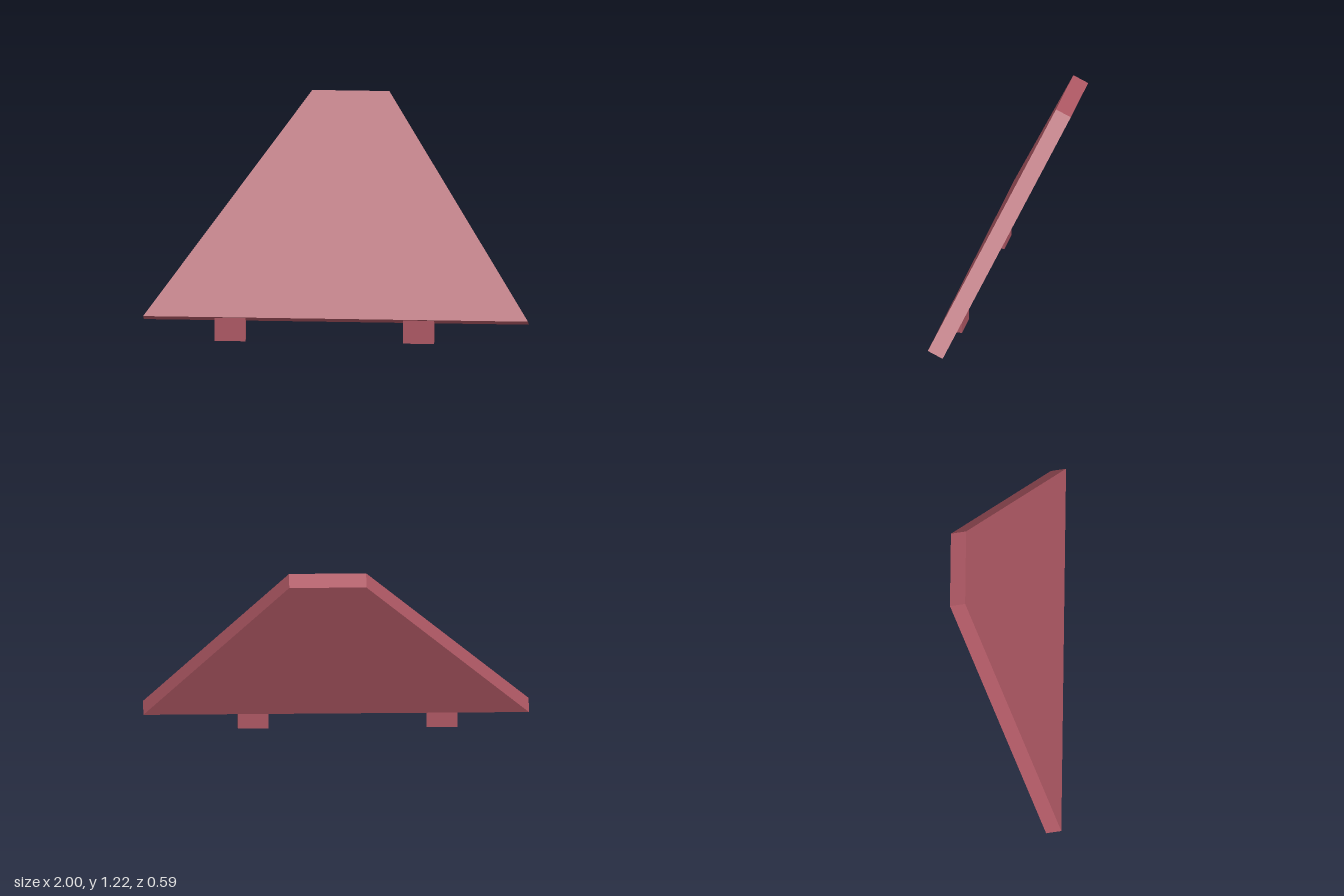
import * as THREE from 'three';

export function createModel() {
  const model = new THREE.Group();
  const red = new THREE.MeshStandardMaterial({ color: 0xad5763 });
  red.name = 'dusty red';

  // Leaning trapezoid panel, its lower back edge at the pivot
  const outline = new THREE.Shape([
    new THREE.Vector2(-1, 0),
    new THREE.Vector2(1, 0),
    new THREE.Vector2(0.25, 1.205),
    new THREE.Vector2(-0.15, 1.205),
  ]);
  const panel = new THREE.Mesh(
    new THREE.ExtrudeGeometry(outline, { depth: 0.087, bevelEnabled: false }), red);
  panel.name = 'panel';
  panel.rotation.x = -THREE.MathUtils.degToRad(25);
  panel.position.set(0, 0.095, 0.215);
  model.add(panel);

  // Two short feet, tops sunk into the panel
  const footHeight = 0.135;
  for (const [name, x] of [['rightFoot', -0.55], ['leftFoot', 0.43]]) {
    const foot = new THREE.Mesh(new THREE.BoxGeometry(0.16, footHeight, 0.052), red);
    foot.name = name;
    foot.position.set(x, footHeight / 2, 0.251);
    model.add(foot);
  }
  return model;
}
